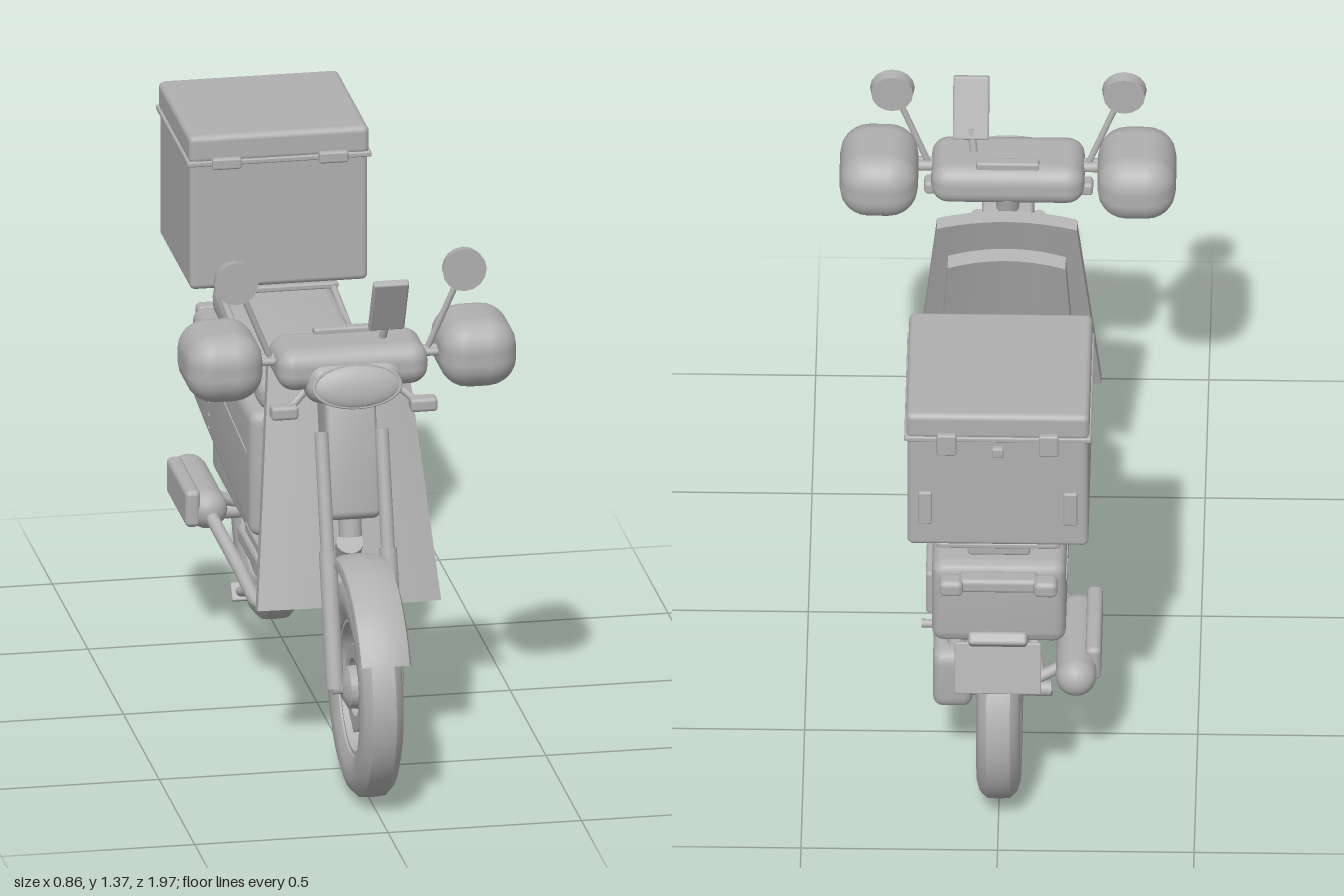
import * as THREE from 'three';
import { toCreasedNormals } from 'three/addons/utils/BufferGeometryUtils.js';
import { RoundedBoxGeometry } from 'three/addons/geometries/RoundedBoxGeometry.js';

const V = (x, y, z) => new THREE.Vector3(x, y, z);

export function createModel() {
  const model = new THREE.Group();
  model.name = 'deliveryScooter';
  const grey = new THREE.MeshStandardMaterial({ color: 0xb0b0b0, side: THREE.DoubleSide });
  grey.name = 'plainGrey';

  const add = (name, geo, parent = model) => {
    const m = new THREE.Mesh(geo, grey);
    m.name = name;
    parent.add(m);
    return m;
  };
  // Rounded box by size, centre, corner radius and lean about x
  const box = (name, w, h, d, x, y, z, r = 0.01, lean = 0) => {
    const m = add(name, new RoundedBoxGeometry(w, h, d, 3, Math.min(r, w / 2.1, h / 2.1, d / 2.1)));
    m.position.set(x, y, z);
    m.rotation.x = lean;
    return m;
  };
  // Straight rod between two points
  const rod = (name, a, b, r, r2 = r) => {
    const m = add(name, new THREE.CylinderGeometry(r2, r, a.distanceTo(b), 16));
    m.position.copy(a).add(b).multiplyScalar(0.5);
    m.quaternion.setFromUnitVectors(V(0, 1, 0), b.clone().sub(a).normalize());
    return m;
  };
  const tube = (name, pts, r) =>
    add(name, new THREE.TubeGeometry(new THREE.CatmullRomCurve3(pts, false, 'catmullrom', 0.2), 32, r, 10));
  // Side profile of [z, y] points with rounded corners, extruded across x
  const profile = (name, pts, x0, x1, round, bevel) => {
    const s = new THREE.Shape();
    const P = pts.map(p => new THREE.Vector2(...p));
    P.forEach((p, i) => {
      const q = P[(i + P.length - 1) % P.length], n = P[(i + 1) % P.length];
      const a = p.clone().add(q.clone().sub(p).setLength(round));
      const b = p.clone().add(n.clone().sub(p).setLength(round));
      i ? s.lineTo(a.x, a.y) : s.moveTo(a.x, a.y);
      s.quadraticCurveTo(p.x, p.y, b.x, b.y);
    });
    s.closePath();
    const g = new THREE.ExtrudeGeometry(s, {
      depth: x1 - x0 - 2 * bevel, bevelThickness: bevel, bevelSize: bevel,
      bevelOffset: -bevel, bevelSegments: 4, curveSegments: 6,
    });
    g.translate(0, 0, -x1 + bevel).rotateY(-Math.PI / 2);
    return add(name, toCreasedNormals(g, 0.6));
  };

  // Wheels: tyre, rim, spokes, hub and brake rings
  const wheel = (name, z) => {
    const w = new THREE.Group();
    w.name = name;
    w.position.set(0, 0.288, z);
    model.add(w);
    const ring = (n, pts) => add(n, toCreasedNormals(
      new THREE.LatheGeometry(pts.map(p => new THREE.Vector2(...p)), 56).rotateZ(Math.PI / 2), 0.6), w);
    ring('tyre', [[0.175, -0.04], [0.2, -0.052], [0.235, -0.056], [0.262, -0.048], [0.281, -0.03], [0.283, 0],
      [0.281, 0.03], [0.262, 0.048], [0.235, 0.056], [0.2, 0.052], [0.175, 0.04], [0.175, -0.04]]);
    ring('rim', [[0.165, -0.035], [0.18, -0.035], [0.18, 0.035], [0.165, 0.035], [0.165, -0.035]]);
    ring('brakeRing', [[0.075, -0.03], [0.112, -0.03], [0.112, 0.03], [0.075, 0.03], [0.075, -0.03]]);
    ring('hub', [[0, -0.06], [0.03, -0.06], [0.055, -0.045], [0.055, 0.045], [0.03, 0.06], [0, 0.06]]);
    for (let i = 0; i < 6; i++) {
      const a = (i + 0.5) * Math.PI / 3;
      const s = add('spoke', new THREE.BoxGeometry(0.035, 0.14, 0.026), w);
      s.position.set(0, 0.105 * Math.cos(a), 0.105 * Math.sin(a));
      s.rotation.x = a;
    }
    ring('axle', [[0, -0.085], [0.016, -0.085], [0.016, 0.085], [0, 0.085]]);
  };
  wheel('frontWheel', 0.68);
  wheel('rearWheel', -0.687);

  // Front mudguard: arched channel swept around the wheel
  const arch = new THREE.LatheGeometry(
    [[0.312, -0.068], [0.328, -0.062], [0.337, -0.035], [0.339, 0], [0.337, 0.035], [0.328, 0.062], [0.312, 0.068],
      [0.304, 0.066], [0.32, 0.05], [0.326, 0], [0.32, -0.05], [0.304, -0.066], [0.312, -0.068]]
      .map(p => new THREE.Vector2(...p)), 40, 0.33, 2.2);
  arch.rotateZ(Math.PI / 2).rotateX(Math.PI / 2);
  // Turn the arc so it spans from low front, over the top, to the rear
  arch.computeBoundingBox();
  const c = arch.boundingBox.getCenter(V(0, 0, 0));
  arch.rotateX(Math.atan2(c.z, c.y) * -1 + 0);
  arch.rotateX(-0.06);
  arch.computeBoundingBox();
  add('frontMudguard', toCreasedNormals(arch, 0.7)).position.set(0, 0.288, 0.68);

  // Fork and steering cover
  for (const s of [-1, 1]) {
    rod('forkLower', V(s * 0.078, 0.285, 0.68), V(s * 0.078, 0.62, 0.575), 0.023);
    rod('forkUpper', V(s * 0.078, 0.6, 0.58), V(s * 0.078, 0.91, 0.485), 0.018);
  }
  profile('steeringCover', [[0.47, 1.03], [0.335, 1.0], [0.425, 0.655], [0.545, 0.69]], -0.066, 0.066, 0.03, 0.015);
  rod('steeringStem', V(0, 0.62, 0.47), V(0, 1.06, 0.38), 0.03);

  // Leg shield: tapered panels with edges curved towards the rider
  const shield = (name, top, bottom, h, d, y, z, lean) => {
    const g = new THREE.BoxGeometry(1, h, d, 16, 6, 1);
    const p = g.attributes.position;
    for (let i = 0; i < p.count; i++) {
      const u = p.getX(i), t = p.getY(i) / h + 0.5;
      p.setX(i, u * 2 * (bottom + (top - bottom) * t));
      p.setZ(i, p.getZ(i) + 0.012 - 0.1 * u * u);
    }
    const m = add(name, toCreasedNormals(g, 0.6));
    m.position.set(0, y, z);
    m.rotation.x = lean;
  };
  shield('legShield', 0.178, 0.237, 0.64, 0.035, 0.735, 0.37, -0.27);
  shield('innerShield', 0.15, 0.178, 0.52, 0.04, 0.69, 0.325, -0.26);

  // Handlebar cover, headlight, instruments
  box('handlebarCover', 0.39, 0.11, 0.19, 0, 1.088, 0.44, 0.045);
  box('headlightHousing', 0.25, 0.11, 0.12, 0, 1.052, 0.5, 0.045, -0.3);
  const lamp = add('headlight', new THREE.SphereGeometry(1, 32, 16));
  lamp.scale.set(0.113, 0.056, 0.022);
  lamp.position.set(0, 1.057, 0.563);
  lamp.rotation.x = -0.3;
  const bezel = add('headlightBezel', new THREE.TorusGeometry(1, 0.05, 8, 40));
  bezel.scale.set(0.112, 0.055, 0.1);
  bezel.position.set(0, 1.057, 0.566);
  bezel.rotation.x = -0.3;
  box('instrumentPanel', 0.16, 0.025, 0.03, 0, 1.145, 0.385, 0.006);
  box('phone', 0.092, 0.165, 0.022, 0.095, 1.245, 0.492, 0.006, 0.46);
  rod('phoneArm', V(0.085, 1.12, 0.44), V(0.095, 1.2, 0.465), 0.01);
  rod('handlebar', V(-0.3, 1.1, 0.44), V(0.3, 1.1, 0.44), 0.014);

  // Hand muffs, mirrors and front indicators
  for (const s of [-1, 1]) {
    box('handMuff', 0.2, 0.18, 0.25, s * 0.328, 1.098, 0.42, 0.075);
    rod('mirrorStem', V(s * 0.205, 1.11, 0.445), V(s * 0.275, 1.28, 0.462), 0.008);
    const m = rod('mirror', V(s * 0.295, 1.32, 0.444), V(s * 0.295, 1.32, 0.474), 0.053, 0.057);
    m.rotation.z = 0;
    box('frontIndicator', 0.07, 0.036, 0.045, s * 0.18, 0.983, 0.515, 0.01);
    rod('indicatorArm', V(s * 0.1, 1.04, 0.47), V(s * 0.165, 0.985, 0.505), 0.01);
    rod('leverArm', V(s * 0.17, 1.1, 0.46), V(s * 0.25, 1.1, 0.46), 0.01);
  }

  // Floorboard
  box('floorboard', 0.34, 0.05, 0.52, 0, 0.405, 0.055, 0.015);
  box('floorMat', 0.32, 0.03, 0.46, 0, 0.44, 0.08, 0.008);
  rod('frameTube', V(0, 0.4, 0.3), V(0, 0.6, 0.46), 0.035);

  // Main body, lower skirt and seat
  profile('body', [[-0.01, 0.79], [-0.01, 0.45], [-0.66, 0.52], [-0.845, 0.545], [-0.845, 0.79]], -0.17, 0.17, 0.035, 0.03);
  profile('lowerSkirt', [[-0.03, 0.5], [-0.06, 0.415], [-0.665, 0.415], [-0.665, 0.54]], -0.15, 0.15, 0.03, 0.02);
  profile('seat', [[0.025, 0.89], [0.025, 0.8], [-0.665, 0.835], [-0.665, 0.927]], -0.153, 0.153, 0.04, 0.035);
  box('seatBase', 0.24, 0.08, 0.5, 0, 0.79, -0.32, 0.01);
  for (const s of [-1, 1]) {
    // Thin seam along each flank
    const seam = add('bodySeam', new THREE.BoxGeometry(0.004, 0.006, 0.75));
    seam.position.set(s * 0.171, 0.698, -0.435);
    seam.rotation.x = 0.075;
    for (let i = 0; i < 3; i++) box('ventSlot', 0.004, 0.006, 0.018, s * 0.171, 0.55 + i * 0.035, -0.59, 0.002);
    rod('rackArm', V(s * 0.145, 0.888, -0.32), V(s * 0.145, 0.927, -0.6), 0.009);
    box('rackRail', 0.025, 0.016, 0.39, s * 0.145, 0.928, -0.745, 0.005);
  }
  for (const z of [-0.56, -0.75, -0.93]) box('rackCrossbar', 0.3, 0.016, 0.025, 0, 0.928, z, 0.005);
  box('rackSupport', 0.16, 0.14, 0.14, 0, 0.86, -0.73, 0.01);

  // Cargo box with lid, latches and reflectors
  box('cargoBox', 0.46, 0.35, 0.435, 0, 1.12, -0.746, 0.015);
  box('cargoLid', 0.466, 0.075, 0.444, 0, 1.323, -0.746, 0.016);
  box('lidRim', 0.476, 0.014, 0.452, 0, 1.287, -0.746, 0.004);
  for (const s of [-1, 1]) {
    box('frontLatch', 0.075, 0.03, 0.02, s * 0.138, 1.288, -0.517, 0.006);
    box('rearLatch', 0.05, 0.065, 0.02, s * 0.13, 1.275, -0.973, 0.006);
    box('rearReflector', 0.035, 0.1, 0.014, s * 0.185, 1.07, -0.968, 0.005);
  }
  box('boxLock', 0.03, 0.03, 0.02, 0, 1.25, -0.97, 0.006);

  // Tail light, indicators, rear flap and number plate
  box('tailLight', 0.2, 0.04, 0.05, 0, 0.757, -0.865, 0.012);
  for (const s of [-1, 1]) box('rearIndicator', 0.06, 0.046, 0.052, s * 0.12, 0.757, -0.88, 0.014);
  box('rearFlap', 0.15, 0.035, 0.17, 0, 0.612, -0.92, 0.01, 0.72);
  box('numberPlate', 0.22, 0.14, 0.012, 0, 0.555, -0.96, 0.004, 0.27);

  // Engine, drive case and battery box
  profile('driveCase', [[-0.13, 0.4], [-0.15, 0.25], [-0.4, 0.225], [-0.71, 0.23], [-0.715, 0.41]], 0.07, 0.17, 0.04, 0.025);
  box('engine', 0.2, 0.17, 0.24, 0, 0.335, -0.25, 0.03);
  box('batteryBox', 0.1, 0.13, 0.19, 0.145, 0.315, -0.235, 0.01);
  rod('rearAxle', V(-0.13, 0.288, -0.687), V(0.13, 0.288, -0.687), 0.02);
  rod('rearShock', V(0.11, 0.38, -0.66), V(0.11, 0.56, -0.6), 0.025);

  // Exhaust pipe and silencer on the right flank
  tube('exhaustPipe', [V(-0.03, 0.26, -0.08), V(-0.07, 0.245, -0.09), V(-0.13, 0.235, -0.14),
    V(-0.15, 0.28, -0.28), V(-0.19, 0.36, -0.44)], 0.018);
  const can = add('silencer', new THREE.CapsuleGeometry(0.052, 0.26, 6, 20));
  can.rotation.x = Math.PI / 2;
  can.position.set(-0.195, 0.372, -0.615);
  box('heatShield', 0.04, 0.1, 0.28, -0.238, 0.385, -0.58, 0.015);
  rod('silencerBracket', V(-0.06, 0.3, -0.69), V(-0.19, 0.36, -0.66), 0.015);

  // Kick starter, footrest bar and centre stand
  rod('footBar', V(0.11, 0.258, -0.055), V(0.11, 0.245, -0.29), 0.013);
  tube('kickStarter', [V(0.1, 0.195, -0.34), V(0.15, 0.225, -0.355), V(0.185, 0.25, -0.365)], 0.009);
  rod('kickPedal', V(0.165, 0.25, -0.368), V(0.205, 0.25, -0.368), 0.011);
  rod('standCrossbar', V(-0.1, 0.2, -0.32), V(0.1, 0.2, -0.32), 0.013);
  for (const s of [-1, 1]) {
    rod('standLeg', V(s * 0.075, 0.2, -0.32), V(s * 0.107, 0.135, -0.5), 0.013);
    box('standFoot', 0.046, 0.012, 0.05, s * 0.107, 0.135, -0.5, 0.004, 0.9);
    rod('standHanger', V(s * 0.06, 0.2, -0.32), V(s * 0.06, 0.28, -0.3), 0.014);
  }
  return model;
}
